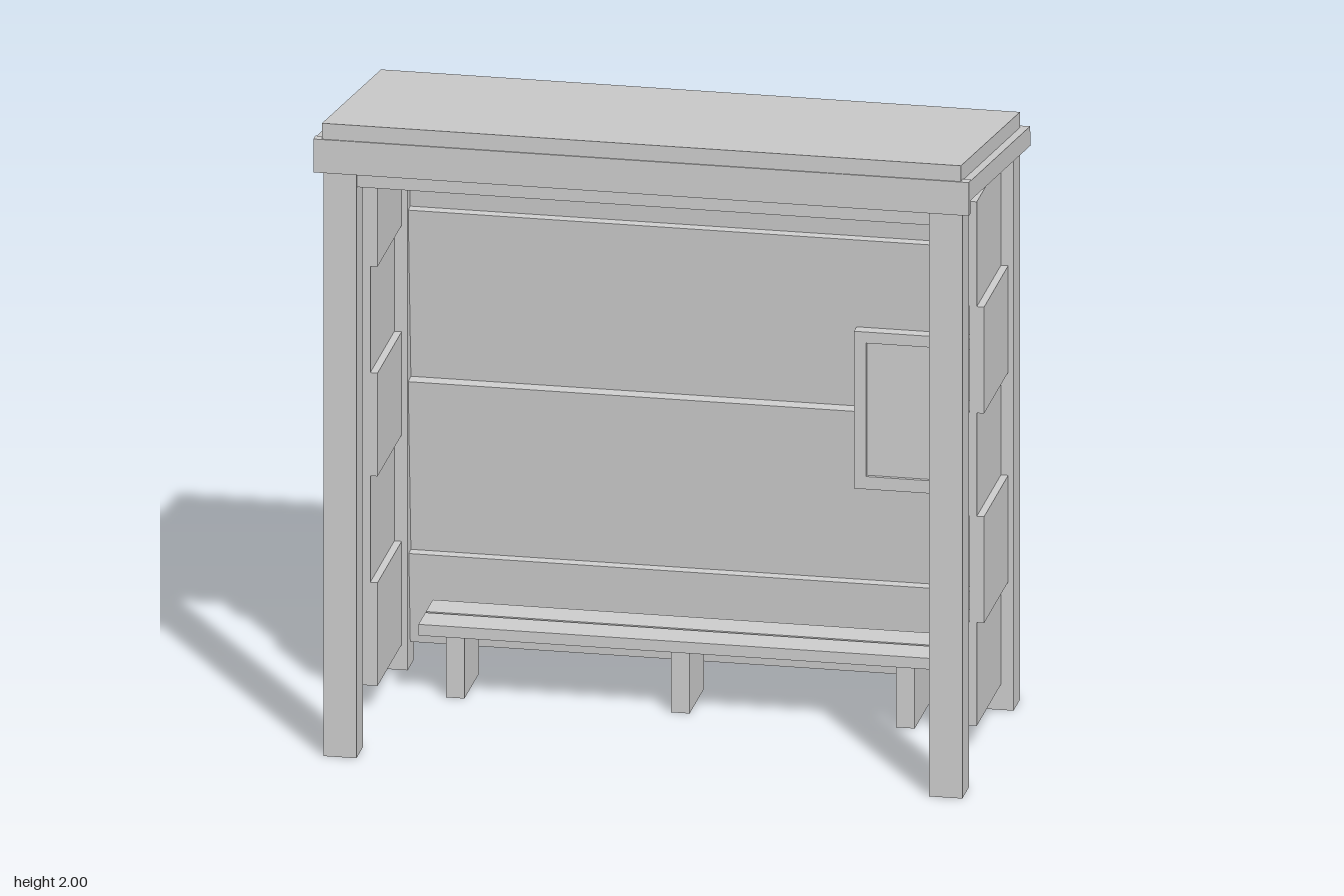
import * as THREE from 'three';

export function createModel() {
  const group = new THREE.Group();
  group.name = 'shelter';
  const grey = new THREE.MeshStandardMaterial({ color: 0xcccccc });
  grey.name = 'plain grey';

  function add(name, geometry) {
    const mesh = new THREE.Mesh(geometry, grey);
    mesh.name = name;
    group.add(mesh);
    return mesh;
  }

  // Box given by its limits on each axis
  function block(name, x0, x1, y0, y1, z0, z1) {
    const mesh = add(name, new THREE.BoxGeometry(x1 - x0, y1 - y0, z1 - z0));
    mesh.position.set((x0 + x1) / 2, (y0 + y1) / 2, (z0 + z1) / 2);
    return mesh;
  }

  // Side profile of [z, y] points, extruded across the width
  function sideProfile(name, halfWidth, points) {
    const shape = new THREE.Shape(points.map(([z, y]) => new THREE.Vector2(-z, y)));
    const geometry = new THREE.ExtrudeGeometry(shape, { depth: 2 * halfWidth, bevelEnabled: false });
    geometry.translate(0, 0, -halfWidth);
    geometry.rotateY(Math.PI / 2);
    return add(name, geometry);
  }

  // Sloping roof: upper sheet over a slightly wider deck and a front fascia
  sideProfile('roofSheet', 0.965, [[0.466, 2.0], [0.466, 1.945], [-0.44, 1.795], [-0.44, 1.85]]);
  sideProfile('roofDeck', 0.99, [[0.45, 1.947], [0.45, 1.886], [-0.475, 1.734], [-0.468, 1.797]]);
  block('roofFascia', -0.99, 0.99, 1.845, 1.95, 0.44, 0.47);

  // Corner posts
  for (const side of [-1, 1]) {
    const x = side * 0.915;
    block('frontPost', x - 0.05, x + 0.05, 0, 1.868, 0.345, 0.445);
    block('backPost', x - 0.05, x + 0.05, 0, 1.745, -0.44, -0.34);
  }

  // Beams joining the post tops
  block('frontBeam', -0.865, 0.865, 1.795, 1.868, 0.355, 0.435);
  block('backBeam', -0.865, 0.865, 1.66, 1.742, -0.43, -0.35);

  // Back wall: overlapping boards, each leaning forward at the top
  const lean = 0.075;
  const levels = [0.08, 0.36, 0.905, 1.445, 1.7];
  for (let i = 0; i < levels.length - 1; i++) {
    const height = levels[i + 1] - levels[i];
    const board = add('backBoard', new THREE.BoxGeometry(1.73, height + 0.006, 0.04));
    board.position.set(0, levels[i] + height / 2, -0.39);
    board.rotation.x = lean;
  }

  // Side walls: five boards, set alternately in and out
  const rows = [0.08, 0.405, 0.74, 1.065, 1.4, 1.73];
  for (const side of [-1, 1]) {
    for (let i = 0; i < 5; i++) {
      const x = side * (i % 2 ? 0.927 : 0.905);
      block('sideBoard', x - 0.022, x + 0.022, rows[i], rows[i + 1], -0.345, 0.03);
    }
  }

  // Bench: two planks on three legs
  block('benchPlank', -0.785, 0.785, 0.2, 0.235, -0.205, -0.1);
  block('benchPlank', -0.785, 0.785, 0.2, 0.235, -0.32, -0.215);
  for (const x of [-0.68, 0, 0.68]) {
    block('benchLeg', x - 0.028, x + 0.028, 0, 0.2, -0.35, -0.13);
  }

  // Notice board: frame with a recessed panel
  const frame = new THREE.Shape();
  frame.moveTo(0.485, 0.67).lineTo(0.87, 0.67).lineTo(0.87, 1.165).lineTo(0.485, 1.165).closePath();
  const hole = new THREE.Path();
  hole.moveTo(0.522, 0.71).lineTo(0.522, 1.13).lineTo(0.835, 1.13).lineTo(0.835, 0.71).closePath();
  frame.holes.push(hole);
  add('noticeFrame', new THREE.ExtrudeGeometry(frame, { depth: 0.04, bevelEnabled: false })).position.z = -0.37;
  block('noticePanel', 0.515, 0.842, 0.7, 1.137, -0.37, -0.342);

  return group;
}
